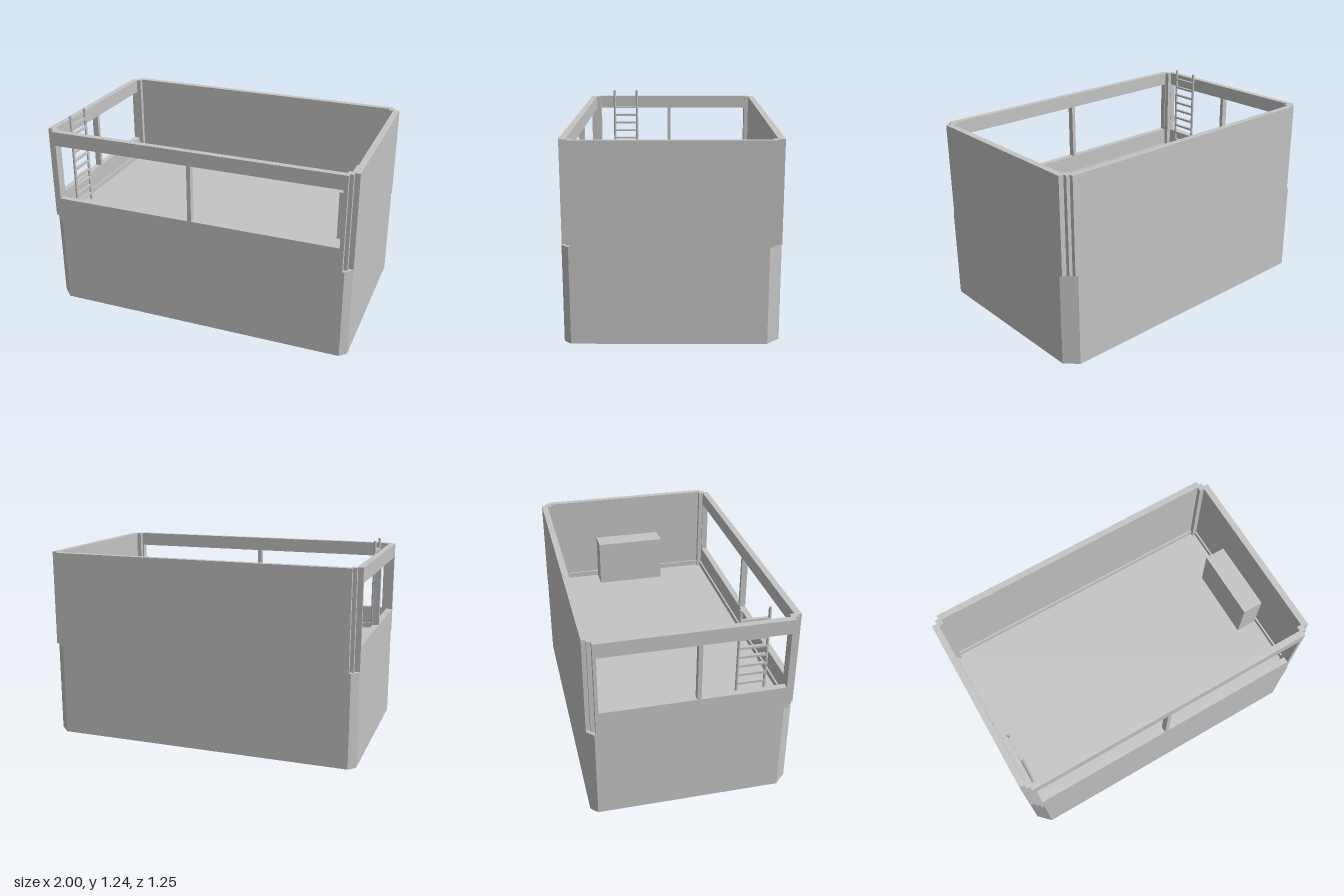
import * as THREE from 'three';

const BASE_H = 0.585, TOP = 1.19;      // lower body height, wall top
const HX = 1, HZ = 0.625, T = 0.04;    // half extents, wall thickness
const WIN_LOW = 0.735, WIN_HIGH = 1.1;

export function createModel() {
  const model = new THREE.Group();
  const grey = new THREE.MeshStandardMaterial({ color: 0xc4c4c4 });
  grey.name = 'grey';

  const add = (name, geometry, parent = model) => {
    const mesh = new THREE.Mesh(geometry, grey);
    mesh.name = name;
    parent.add(mesh);
    return mesh;
  };
  // Box given by its limits on each axis
  const box = (name, x0, x1, y0, y1, z0, z1, parent) => {
    const g = new THREE.BoxGeometry(x1 - x0, y1 - y0, z1 - z0);
    g.translate((x0 + x1) / 2, (y0 + y1) / 2, (z0 + z1) / 2);
    return add(name, g, parent);
  };
  // Upright wall panel with window openings, each given as [from, to]
  const panel = (half, windows) => {
    const s = new THREE.Shape();
    s.moveTo(-half, BASE_H).lineTo(half, BASE_H).lineTo(half, TOP).lineTo(-half, TOP).closePath();
    for (const [a, b] of windows) {
      const h = new THREE.Path();
      h.moveTo(a, WIN_LOW).lineTo(a, WIN_HIGH).lineTo(b, WIN_HIGH).lineTo(b, WIN_LOW).closePath();
      s.holes.push(h);
    }
    return new THREE.ExtrudeGeometry(s, { depth: T, bevelEnabled: false });
  };

  // Lower body: wide chamfers on two opposite corners, narrow on the others
  const w = 0.075, n = 0.042;
  const outline = [
    [-HX + w, -HZ], [HX - n, -HZ], [HX, -HZ + n], [HX, HZ - w],
    [HX - w, HZ], [-HX + n, HZ], [-HX, HZ - n], [-HX, -HZ + w],
  ].map(([x, y]) => new THREE.Vector2(x, y));
  const body = new THREE.ExtrudeGeometry(new THREE.Shape(outline), { depth: BASE_H, bevelEnabled: false });
  body.rotateX(-Math.PI / 2);
  add('lowerBody', body);

  // Upper walls: windows at the front and on one end
  add('frontWall', panel(0.945, [[-0.925, -0.03], [-0.005, 0.92]])).position.z = HZ - T;
  add('backWall', panel(0.945, [])).position.z = -HZ;
  const leftWall = add('leftWall', panel(0.575, []));
  leftWall.rotation.y = Math.PI / 2;
  leftWall.position.x = HX - T;
  const rightWall = add('rightWall', panel(0.575, [[-0.555, -0.04], [-0.015, 0.555]]));
  rightWall.rotation.y = Math.PI / 2;
  rightWall.position.x = -HX;

  // Stepped corner posts
  const posts = new THREE.Group();
  posts.name = 'cornerPosts';
  model.add(posts);
  for (const sx of [-1, 1]) {
    for (const sz of [-1, 1]) {
      const g = new THREE.BoxGeometry(0.038, TOP - BASE_H, 0.044);
      g.translate(sx * 0.949, (TOP + BASE_H) / 2, sz * 0.578);
      add('cornerPost', g, posts);
    }
  }

  // Low skirting around the floor
  const skirting = new THREE.Group();
  skirting.name = 'skirting';
  model.add(skirting);
  for (const s of [-1, 1]) {
    const zc = s * 0.58, xc = s * 0.955;
    box('longSkirting', -0.93, 0.93, BASE_H, 0.62, zc - 0.006, zc + 0.006, skirting);
    box('shortSkirting', xc - 0.006, xc + 0.006, BASE_H, 0.62, -0.555, 0.555, skirting);
  }

  // Raised box against the solid end wall
  box('storageBox', 0.81, 0.945, BASE_H, 0.9, -0.235, 0.23);

  // Ladder
  const ladder = new THREE.Group();
  ladder.name = 'ladder';
  model.add(ladder);
  for (const z of [0.276, 0.447]) {
    const rail = add('ladderRail', new THREE.CylinderGeometry(0.009, 0.009, 1.24 - BASE_H, 12), ladder);
    rail.position.set(-0.912, (1.24 + BASE_H) / 2, z);
  }
  for (let i = 0; i < 10; i++) {
    const y = 0.63 + i * 0.06;
    box('ladderRung', -0.921, -0.903, y - 0.007, y + 0.007, 0.276, 0.447, ladder);
  }
  return model;
}
